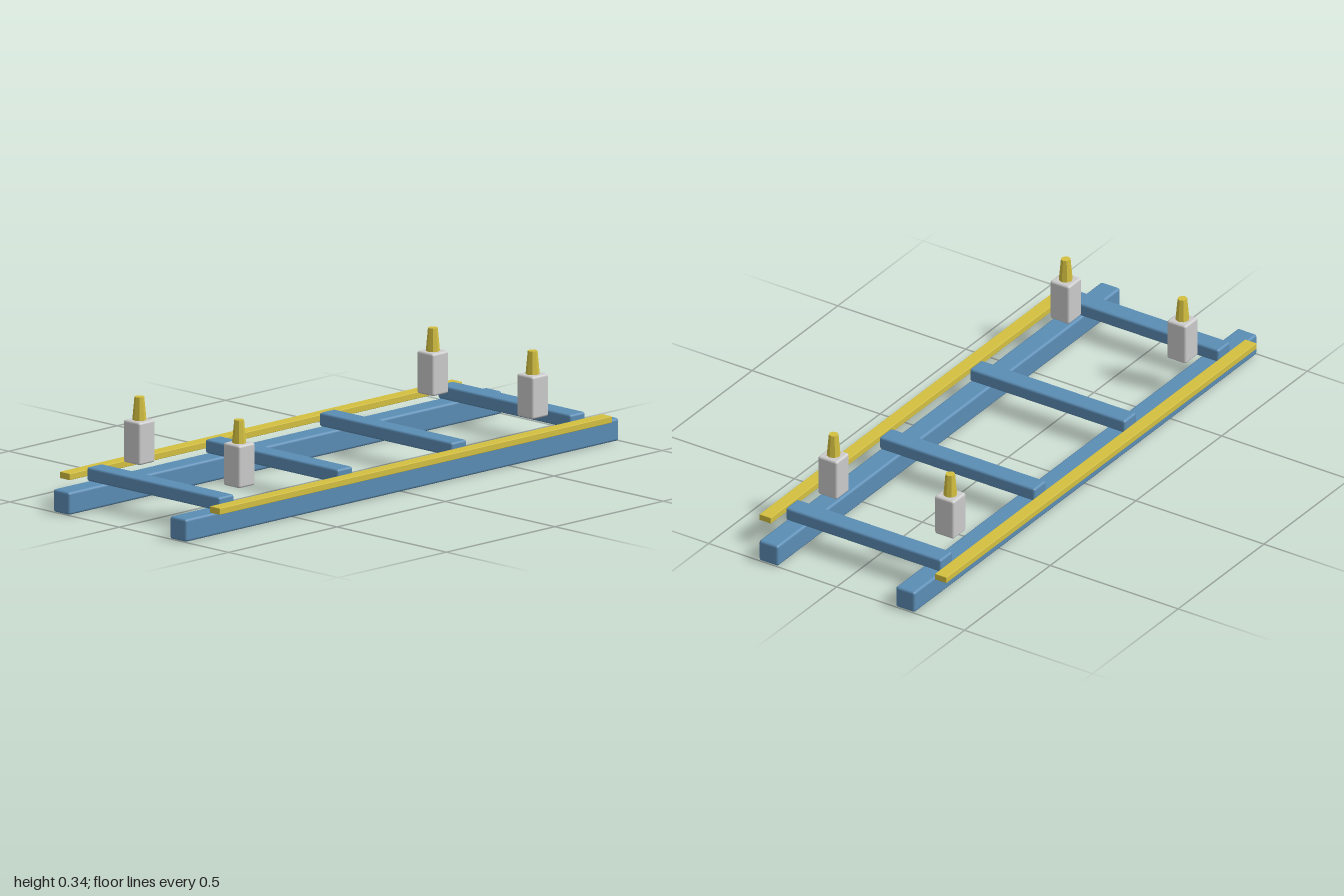
import * as THREE from 'three';
import { RoundedBoxGeometry } from 'three/addons/geometries/RoundedBoxGeometry.js';

const blue = new THREE.MeshStandardMaterial({ color: 0x5b8db5 });
const yellow = new THREE.MeshStandardMaterial({ color: 0xd4c040 });
const yellowFaceted = new THREE.MeshStandardMaterial({ color: 0xd4c040, flatShading: true });
const grey = new THREE.MeshStandardMaterial({ color: 0xcccccc });

export function createModel() {
  const model = new THREE.Group();
  model.name = 'ladderFrame';

  const add = (name, geometry, material, x, y, z, parent = model) => {
    const mesh = new THREE.Mesh(geometry, material);
    mesh.name = name;
    mesh.position.set(x, y, z);
    parent.add(mesh);
    return mesh;
  };

  const railGeo = new RoundedBoxGeometry(0.075, 0.076, 2, 3, 0.009);
  const beamGeo = new RoundedBoxGeometry(0.607, 0.046, 0.07, 3, 0.008);
  const barGeo = new RoundedBoxGeometry(0.045, 0.022, 1.81, 2, 0.002);
  const postGeo = new RoundedBoxGeometry(0.075, 0.142, 0.075, 3, 0.008);
  const tipGeo = new THREE.CylinderGeometry(0.016, 0.023, 0.077, 8);

  for (const side of [1, -1]) {
    const label = side > 0 ? 'left' : 'right';
    // Long lower rails and the thin bars floating outside them
    add(label + 'Rail', railGeo, blue, side * 0.267, 0.038, 0);
    add(label + 'SideBar', barGeo, yellow, side * 0.343, 0.097, 0);

    // Upright posts with tapered eight-sided tips
    for (const end of [1, -1]) {
      const post = new THREE.Group();
      post.name = label + (end > 0 ? 'Front' : 'Back') + 'Post';
      post.position.set(side * 0.228, 0.124, end * 0.677);
      add('postBody', postGeo, grey, 0, 0.071, 0, post);
      add('postTip', tipGeo, yellowFaceted, 0, 0.1805, 0, post);
      model.add(post);
    }
  }

  // Cross beams resting on the rails
  [-0.81, -0.263, 0.263, 0.81].forEach((z, i) => {
    add('crossBeam' + (i + 1), beamGeo, blue, 0, 0.1, z);
  });

  return model;
}
